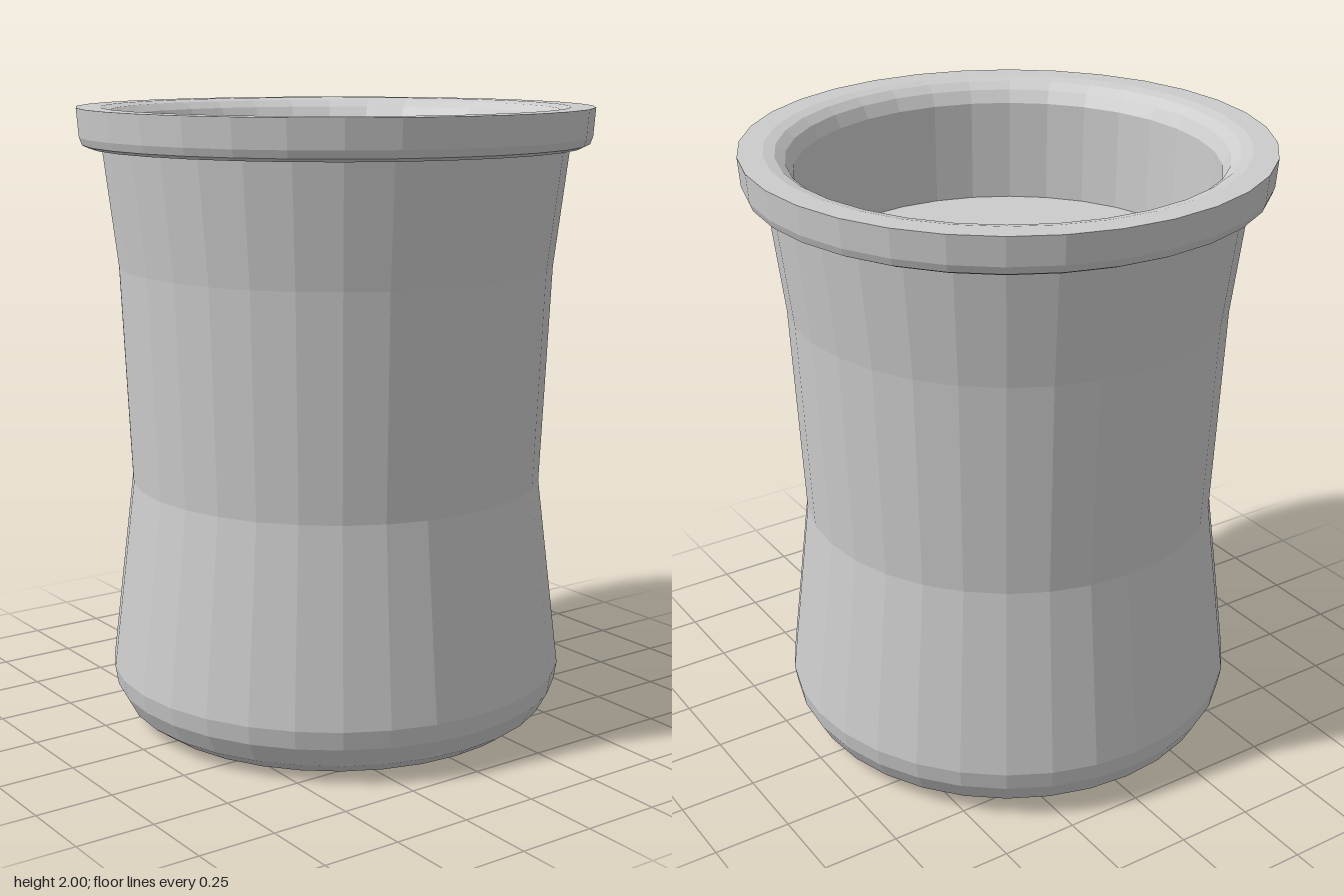
import * as THREE from 'three';

const SIDES = 32;

// Faceted surface of revolution; profile runs up the outside and down the inside
function turned(name, profile, material) {
  const points = profile.map(([r, y]) => new THREE.Vector2(r, y));
  const mesh = new THREE.Mesh(new THREE.LatheGeometry(points, SIDES), material);
  mesh.name = name;
  return mesh;
}

export function createModel() {
  const group = new THREE.Group();
  group.name = 'jar';
  const material = new THREE.MeshStandardMaterial({ color: 0xcccccc, flatShading: true });

  // Waisted body with a rounded foot
  group.add(turned('body', [
    [0, 0], [0.57, 0], [0.645, 0.015], [0.70, 0.055], [0.735, 0.12], [0.745, 0.18],
    [0.67, 0.8], [0.70, 1.5], [0.745, 1.875],
  ], material));

  // Overhanging rim with a softened lower edge and a rounded mouth
  group.add(turned('rim', [
    [0.745, 1.875], [0.785, 1.876], [0.806, 1.886], [0.815, 1.91], [0.822, 2],
    [0.745, 2], [0.71, 1.992], [0.68, 1.97], [0.657, 1.93],
  ], material));

  // Inner wall
  group.add(turned('innerWall', [[0.657, 1.93], [0.65, 1.6]], material));

  // Level filling inside the mouth
  group.add(turned('innerFloor', [[0.65, 1.6], [0, 1.6]], material));

  return group;
}
